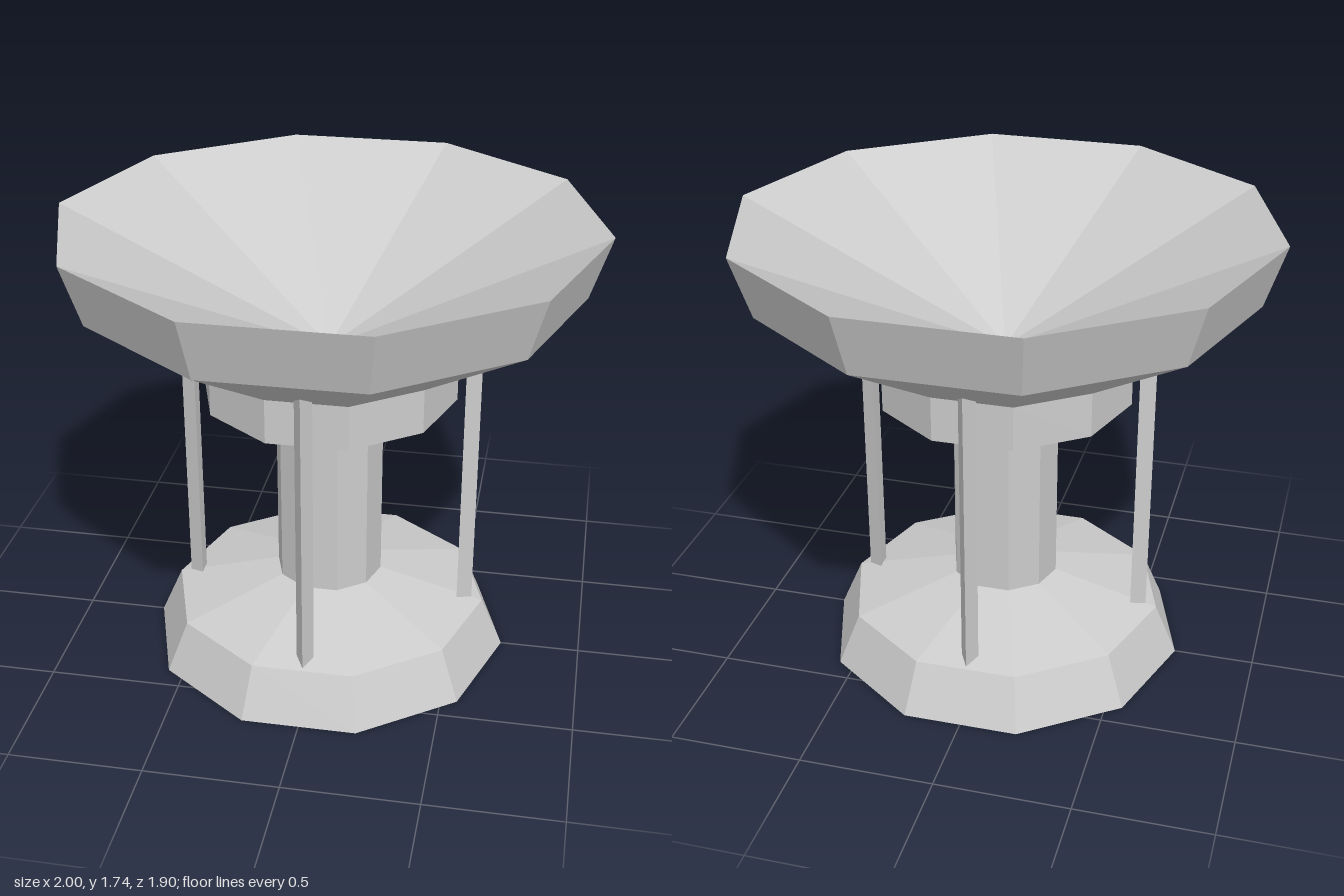
import * as THREE from 'three';

const SIDES = 10;

export function createModel() {
  const model = new THREE.Group();
  model.name = 'pedestalBowl';
  const stone = new THREE.MeshStandardMaterial({ color: 0xcccccc, side: THREE.DoubleSide });
  stone.name = 'pale grey stone';

  // Adds a mesh with one normal per facet
  function addPart(name, geometry, parent = model) {
    const faceted = geometry.toNonIndexed();
    faceted.computeVertexNormals();
    const mesh = new THREE.Mesh(faceted, stone);
    mesh.name = name;
    parent.add(mesh);
    return mesh;
  }

  // Ten-sided turned shell with corners on the x axis; profile is [radius, y]
  function addTurned(name, profile) {
    const points = profile.map(([r, y]) => new THREE.Vector2(r, y));
    addPart(name, new THREE.LatheGeometry(points, SIDES, Math.PI / 2));
  }

  // Hollow foot, open underneath
  addTurned('base', [[0.695, 0], [0.61, 0.195], [0.205, 0.305]]);
  // Open tube
  addTurned('column', [[0.205, 0.305], [0.205, 0.97]]);
  addTurned('collar', [[0.205, 0.97], [0.48, 1.07], [0.48, 1.24]]);
  // Outer wall, rim and the conical hollow
  addTurned('bowl', [[0.48, 1.24], [0.925, 1.51], [1, 1.74], [0, 1.25]]);

  // Four triangular posts, each with an edge pointing outward
  const bottom = 0.15, top = 1.38;
  for (let i = 0; i < 4; i++) {
    const pivot = new THREE.Group();
    pivot.name = 'postArm';
    pivot.rotation.y = i * Math.PI / 2;
    const post = addPart('post', new THREE.CylinderGeometry(0.037, 0.037, top - bottom, 3), pivot);
    post.position.set(0, (top + bottom) / 2, 0.531);
    model.add(pivot);
  }
  return model;
}
